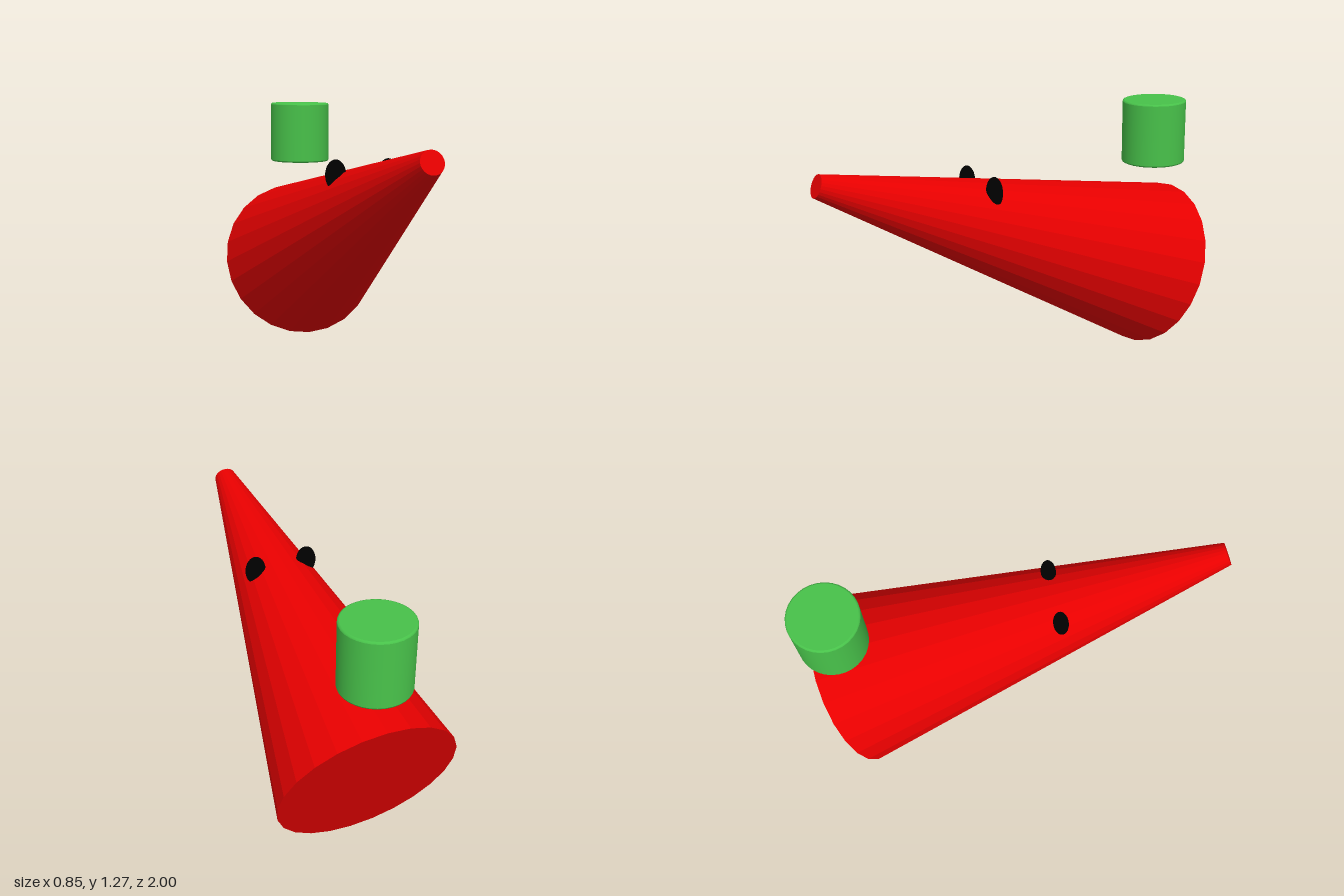
import * as THREE from 'three';

const mat = (name, color, flatShading = false) => {
  const m = new THREE.MeshStandardMaterial({ color, flatShading });
  m.name = name;
  return m;
};

export function createModel() {
  const model = new THREE.Group();
  const red = mat('red', 0xe80000, true);
  const green = mat('green', 0x48c24a);
  const black = mat('black', 0x000000);

  const add = (name, geometry, material, x, y, z) => {
    const mesh = new THREE.Mesh(geometry, material);
    mesh.name = name;
    mesh.position.set(x, y, z);
    model.add(mesh);
    return mesh;
  };

  // Tapered body, narrow end tilted up towards the front
  const body = add('body', new THREE.CylinderGeometry(0.053, 0.427, 1.93, 24), red, 0, 0.73, 0.078);
  body.rotation.x = THREE.MathUtils.degToRad(70);

  // Floating cylinder with softly bevelled rims; doubled points keep the caps and wall crisp
  const r = 0.16, h = 0.16, b = 0.008;
  const profile = [
    [0, -h], [r - b, -h], [r - b, -h], [r - b * 0.3, -h + b * 0.3], [r, -h + b], [r, -h + b],
    [r, h - b], [r, h - b], [r - b * 0.3, h - b * 0.3], [r - b, h], [r - b, h], [0, h],
  ].map(([x, y]) => new THREE.Vector2(x, y));
  const hat = add('hat', new THREE.LatheGeometry(profile, 32), green, 0, 1.108, -0.838);
  hat.rotation.x = 0.02;

  // Oval eyes, half sunk into the body
  for (const side of [-1, 1]) {
    const eye = add(side > 0 ? 'leftEye' : 'rightEye', new THREE.SphereGeometry(1, 24, 16), black, side * 0.13, 0.951, 0.182);
    eye.scale.set(0.05, 0.072, 0.035);
  }

  return model;
}
